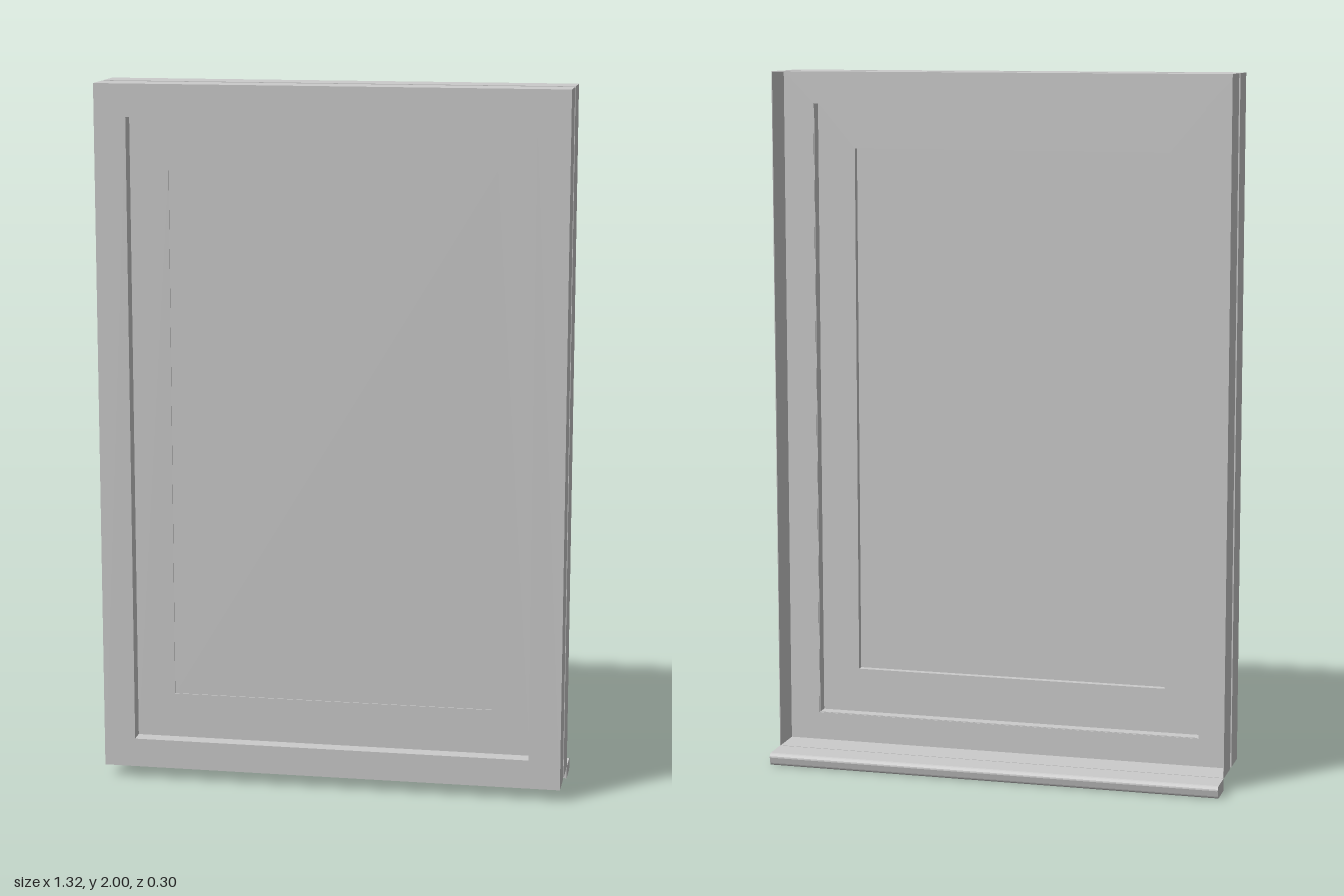
import * as THREE from 'three';

const material = new THREE.MeshStandardMaterial({ color: 0xcccccc, flatShading: true, side: THREE.DoubleSide });

function rect(target, w, y0, y1) {
  target.moveTo(-w, y0);
  target.lineTo(w, y0);
  target.lineTo(w, y1);
  target.lineTo(-w, y1);
  target.closePath();
  return target;
}

// Rectangular ring between an outer and inner [halfWidth, bottom, top], from z0 to z1
function ring(name, outer, inner, z0, z1) {
  const shape = rect(new THREE.Shape(), ...outer);
  if (inner) shape.holes.push(rect(new THREE.Path(), ...inner));
  const geometry = new THREE.ExtrudeGeometry(shape, { depth: z1 - z0, bevelEnabled: false });
  geometry.translate(0, 0, z0);
  const mesh = new THREE.Mesh(geometry, material);
  mesh.name = name;
  return mesh;
}

const inset = ([w, y0, y1], d) => [w - d, y0 + d, y1 - d];

export function createModel() {
  const group = new THREE.Group();
  group.name = 'window';

  const outer = [0.66, 0.035, 2];
  const opening = [0.57, 0.118, 1.908];
  const pane = [0.46, 0.247, 1.778];

  // Front casing, and the narrow collar set back in the groove behind it
  group.add(ring('frontCasing', outer, opening, 0.06, 0.15));
  group.add(ring('collar', opening, inset(opening, 0.002), 0.04, 0.06));

  // Thin reveal lining the wall behind the groove, closed by a flange
  group.add(ring('reveal', outer, inset(outer, 0.002), -0.06, 0.04));
  group.add(ring('revealFlange', outer, opening, 0.038, 0.04));

  // Sash with its glass almost flush at the front
  group.add(ring('sash', opening, pane, 0.08, 0.107));
  group.add(ring('glass', pane, null, 0.1, 0.104));

  // Sill with a rounded nose, drawn as (depth behind centre, height)
  const profile = new THREE.Shape();
  profile.moveTo(0.06, 0);
  profile.lineTo(0.138, 0);
  profile.quadraticCurveTo(0.144, 0.001, 0.146, 0.008);
  profile.lineTo(0.15, 0.024);
  profile.quadraticCurveTo(0.15, 0.033, 0.139, 0.036);
  profile.lineTo(0.06, 0.036);
  profile.closePath();
  const sillGeometry = new THREE.ExtrudeGeometry(profile, { depth: 1.32, bevelEnabled: false, curveSegments: 4 });
  sillGeometry.rotateY(Math.PI / 2).translate(-0.66, 0, 0); // profile x becomes -z
  const sill = new THREE.Mesh(sillGeometry, material);
  sill.name = 'sill';
  group.add(sill);

  return group;
}
